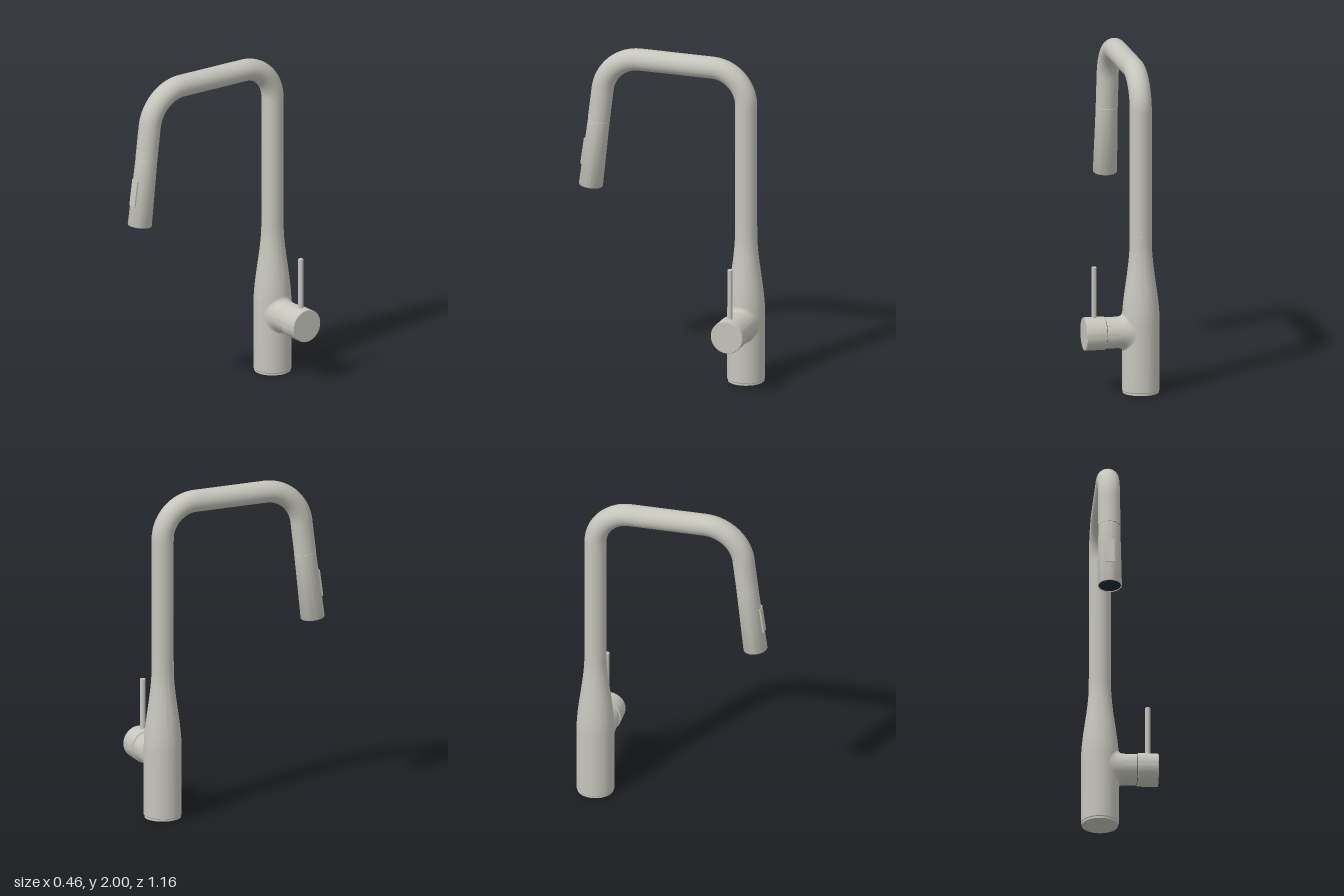
import * as THREE from 'three';
import { toCreasedNormals } from 'three/addons/utils/BufferGeometryUtils.js';

const X = -0.12, Z = -0.468; // column axis
const ARM_Y = 0.372;         // side valve axis height
const TILT = THREE.MathUtils.degToRad(7);

const steel = new THREE.MeshStandardMaterial({ color: 0xc6c5bc });
steel.name = 'brushed steel';
const dark = new THREE.MeshStandardMaterial({ color: 0x1b2a2d });
dark.name = 'dark rubber';

function part(name, geometry, material, parent) {
  const mesh = new THREE.Mesh(geometry, material);
  mesh.name = name;
  parent.add(mesh);
  return mesh;
}

// Revolved profile of [radius, height] pairs with crisp rims
function lathe(points, segments = 64) {
  const g = new THREE.LatheGeometry(points.map(([r, y]) => new THREE.Vector2(r, y)), segments);
  return toCreasedNormals(g, 0.5);
}

// Centre line of the spout: riser, rear bend, bridge, front bend, tilted drop
function spoutPath() {
  const p = (z, y) => new THREE.Vector3(X, y, z);
  const top = 1.934, r1 = 0.212, k1 = 0.5523 * r1;
  const r2 = 0.24, k2 = 0.505 * r2;
  const s = Math.sin(TILT), c = Math.cos(TILT);
  const z2 = 0.201, endZ = z2 + r2 * c, endY = top - r2 * (1 - s);
  const path = new THREE.CurvePath();
  path.add(new THREE.LineCurve3(p(Z, 0.95), p(Z, top - r1)));
  path.add(new THREE.CubicBezierCurve3(
    p(Z, top - r1), p(Z, top - r1 + k1), p(Z + r1 - k1, top), p(Z + r1, top)));
  path.add(new THREE.LineCurve3(p(Z + r1, top), p(z2, top)));
  path.add(new THREE.CubicBezierCurve3(
    p(z2, top), p(z2 + k2, top), p(endZ - k2 * s, endY + k2 * c), p(endZ, endY)));
  path.add(new THREE.LineCurve3(p(endZ, endY), p(0.463, 1.53)));
  return path;
}

// Flared sleeve that blends the round arm into the round column
function blendGeometry() {
  const around = 64, along = 10, pos = [], index = [];
  const R = 0.113, r = 0.094;
  for (let j = 0; j <= along; j++) {
    const t = j / along, a = (1 - t) ** 2, b = 2 * t * (1 - t), c = t * t;
    for (let i = 0; i <= around; i++) {
      const q = i / around * Math.PI * 2, cy = Math.cos(q), sz = Math.sin(q);
      const x0 = Math.sqrt(R * R - (0.105 * sz) ** 2) - 0.002;
      const x1 = Math.sqrt(R * R - (r * sz) ** 2);
      pos.push(
        a * x0 + b * x1 + c * 0.148,
        cy * (a * 0.122 + (b + c) * r),
        sz * (a * 0.105 + (b + c) * r));
      if (j < along && i < around) {
        const n = j * (around + 1) + i, m = n + around + 1;
        index.push(n, n + 1, m, n + 1, m + 1, m);
      }
    }
  }
  const g = new THREE.BufferGeometry();
  g.setAttribute('position', new THREE.Float32BufferAttribute(pos, 3));
  g.setIndex(index);
  g.computeVertexNormals();
  return g;
}

export function createModel() {
  const model = new THREE.Group();
  model.name = 'kitchenTap';

  // Column: foot ring, straight lower body, smooth taper to the spout
  const profile = [[0, 0], [0.109, 0], [0.109, 0.012], [0.113, 0.016], [0.113, 0.42]];
  for (let i = 1; i <= 24; i++) {
    const t = i / 24, s = t * t * (3 - 2 * t);
    profile.push([0.113 - 0.0465 * s, 0.42 + 0.5 * t]);
  }
  profile.push([0.0665, 0.96], [0, 0.96]);
  part('body', lathe(profile), steel, model).position.set(X, 0, Z);

  part('spout', new THREE.TubeGeometry(spoutPath(), 160, 0.066, 40), steel, model);

  // Side valve; its groups are laid along +x
  const valve = new THREE.Group();
  valve.name = 'sideValve';
  valve.position.set(X, ARM_Y, Z);
  model.add(valve);
  const blend = part('armBlend', blendGeometry(), steel, valve);
  blend.material = steel;
  const onX = (name, pts, mat) => {
    part(name, lathe(pts), mat, valve).rotation.z = -Math.PI / 2;
  };
  onX('arm', [[0.094, 0.06], [0.094, 0.219], [0, 0.219]], steel);
  onX('handleSeal', [[0.09, 0.217], [0.09, 0.225]], dark);
  onX('handleCap', [[0, 0.222], [0.097, 0.222], [0.1, 0.225], [0.1, 0.344],
    [0.097, 0.347], [0, 0.347]], steel);

  // Thin upright lever
  const lever = part('lever', lathe([[0.016, 0], [0.016, 0.323], [0.013, 0.326], [0, 0.326]], 24),
    steel, valve);
  lever.position.set(0.285, 0.082, 0);

  // Pull-out spray head, tilted along the end of the spout
  const head = new THREE.Group();
  head.name = 'sprayHead';
  head.position.set(X, 1.117, 0.513);
  head.rotation.x = -TILT;
  model.add(head);
  part('headShell', lathe([[0.065, 0.012], [0.066, 0], [0.07, 0], [0.072, 0.004],
    [0.0655, 0.414], [0.064, 0.416], [0, 0.416]]), steel, head);
  part('nozzleFace', lathe([[0, -0.003], [0.05, -0.003], [0.054, 0.004], [0.066, 0.004]]), dark, head);

  // Spray button on the front of the head
  const button = part('sprayButton', new THREE.BoxGeometry(0.052, 0.162, 0.02), steel, head);
  button.position.set(0, 0.205, 0.0625);
  button.rotation.x = -0.016;

  return model;
}
